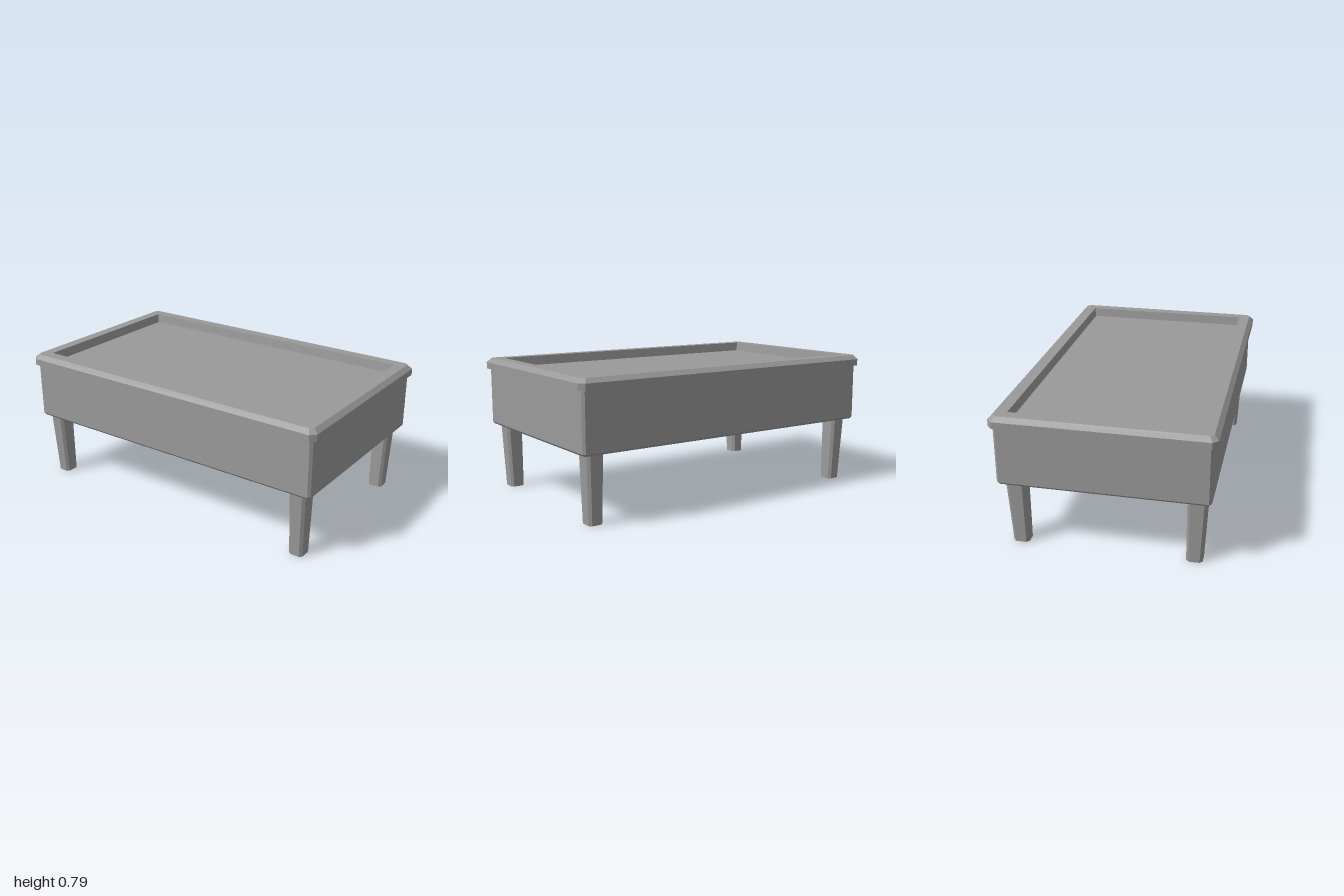
import * as THREE from 'three';

const material = new THREE.MeshStandardMaterial({ color: 0x9a9a9a, flatShading: true });

// Rectangle outline with cut corners, counter-clockwise from above
function ring({ w, d, c = 0, y, x = 0, z = 0 }) {
  return [
    [w, d - c], [w, c - d], [w - c, -d], [c - w, -d],
    [-w, c - d], [-w, d - c], [c - w, d], [w - c, d],
  ].map(([px, pz]) => new THREE.Vector3(x + px, y, z + pz));
}

// Skin a list of outlines with flat faces, skipping collapsed triangles
function loft(name, sections) {
  const rings = sections.map(ring);
  const points = [];
  const tri = (...t) => {
    if (new THREE.Triangle(...t).getArea() > 1e-9) points.push(...t);
  };
  for (let r = 0; r < rings.length - 1; r++) {
    for (let i = 0; i < 8; i++) {
      const j = (i + 1) % 8, lo = rings[r], hi = rings[r + 1];
      tri(lo[i], lo[j], hi[j]);
      tri(lo[i], hi[j], hi[i]);
    }
  }
  const geometry = new THREE.BufferGeometry().setFromPoints(points);
  geometry.computeVertexNormals();
  const mesh = new THREE.Mesh(geometry, material);
  mesh.name = name;
  return mesh;
}

export function createModel() {
  const table = new THREE.Group();
  table.name = 'trayTable';

  // Deep box body; its top is the sunken tabletop
  table.add(loft('body', [
    { w: 0, d: 0, y: 0.387 },
    { w: 0.962, d: 0.57, c: 0.012, y: 0.387 },
    { w: 0.971, d: 0.58, c: 0.014, y: 0.399 },
    { w: 0.971, d: 0.58, c: 0.014, y: 0.735 },
    { w: 0, d: 0, y: 0.735 },
  ]));

  // Raised rim with a bevelled outer edge
  table.add(loft('rim', [
    { w: 0.898, d: 0.506, y: 0.727 },
    { w: 0.994, d: 0.603, c: 0.03, y: 0.727 },
    { w: 0.994, d: 0.603, c: 0.03, y: 0.765 },
    { w: 0.969, d: 0.578, c: 0.02, y: 0.79 },
    { w: 0.905, d: 0.513, y: 0.79 },
    { w: 0.898, d: 0.506, y: 0.727 },
  ]));

  // Legs: straight inner faces, outer faces tapering to the foot
  for (const sx of [-1, 1]) {
    for (const sz of [-1, 1]) {
      const inX = 0.83, inZ = sz > 0 ? 0.446 : 0.438;
      const section = (widthX, widthZ, y) => ({
        w: widthX / 2, d: widthZ / 2, c: 0.015, y,
        x: sx * (inX + widthX / 2), z: sz * (inZ + widthZ / 2),
      });
      const foot = section(0.084, 0.09, 0);
      const top = section(0.099, 0.109, 0.395);
      table.add(loft((sz > 0 ? 'front' : 'back') + (sx > 0 ? 'Left' : 'Right') + 'Leg', [
        { ...foot, w: 0, d: 0, c: 0 }, foot, top, { ...top, w: 0, d: 0, c: 0 },
      ]));
    }
  }

  // The table stands turned very slightly
  table.rotation.y = -0.01;
  const model = new THREE.Group();
  model.name = 'model';
  model.add(table);
  return model;
}
